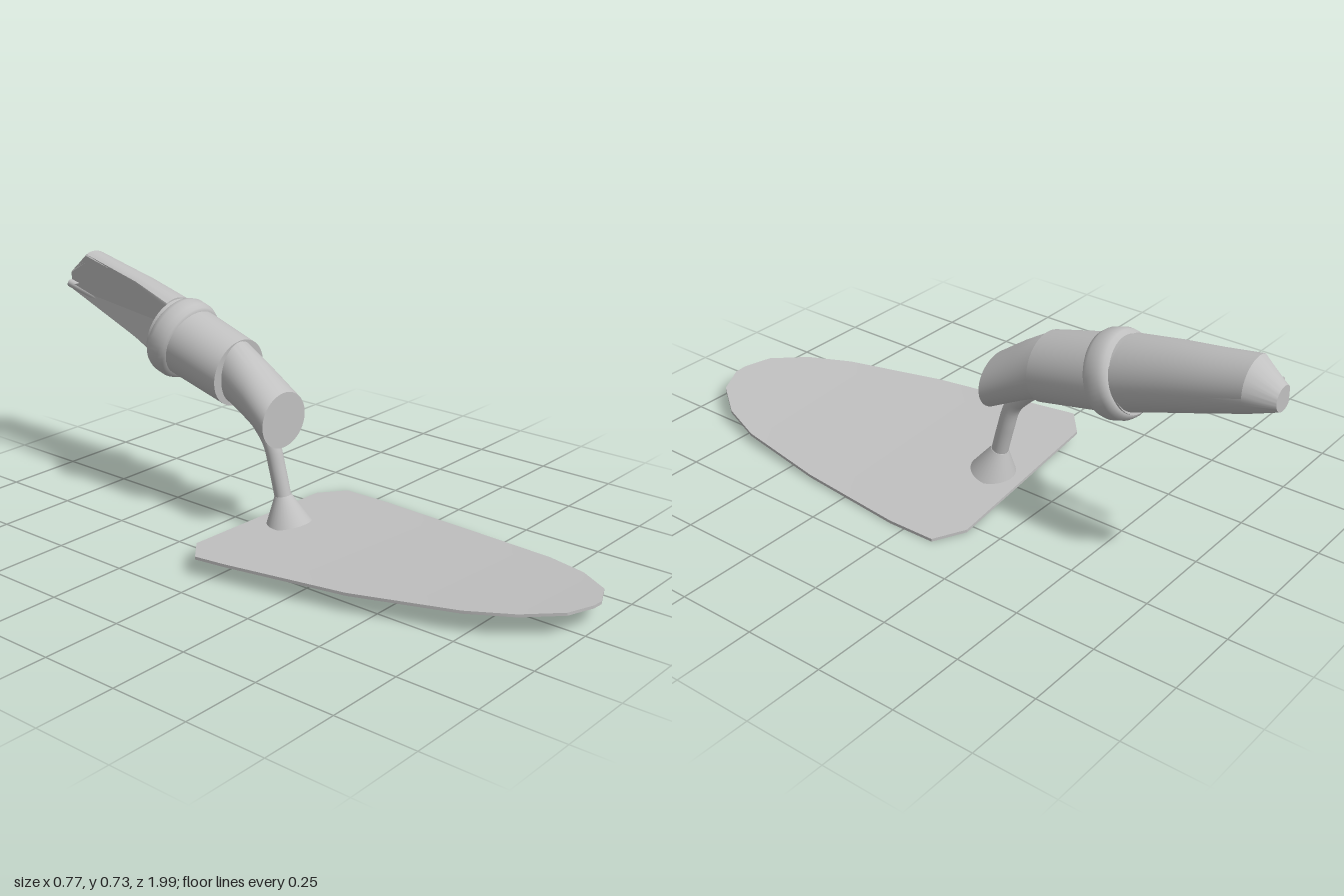
import * as THREE from 'three';
import { toCreasedNormals } from 'three/addons/utils/BufferGeometryUtils.js';

const V = (x, y, z) => new THREE.Vector3(x, y, z);

// Skin over closed rings ordered from +z to -z, each counter-clockwise seen from +z, with end caps.
function loft(rings, crease = 0.6) {
  const n = rings[0].length;
  const pos = [];
  const tri = (...pts) => pts.forEach((p) => pos.push(p.x, p.y, p.z));
  for (let i = 0; i < rings.length - 1; i++) {
    for (let j = 0; j < n; j++) {
      const k = (j + 1) % n;
      const a = rings[i], b = rings[i + 1];
      tri(a[j], b[j], a[k]);
      tri(a[k], b[j], b[k]);
    }
  }
  [rings[0], rings[rings.length - 1]].forEach((ring, end) => {
    const c = ring.reduce((s, p) => s.add(p), V(0, 0, 0)).divideScalar(n);
    for (let j = 0; j < n; j++) {
      const k = (j + 1) % n;
      if (end) tri(c, ring[k], ring[j]);
      else tri(c, ring[j], ring[k]);
    }
  });
  const g = new THREE.BufferGeometry();
  g.setAttribute('position', new THREE.Float32BufferAttribute(pos, 3));
  return toCreasedNormals(g, crease);
}

// Elliptical section; points left of cutX are flattened onto that plane.
function section(x, y, z, rx, ry, cutX = -9, lean = 0) {
  return Array.from({ length: 48 }, (_, i) => {
    const a = (i / 48) * Math.PI * 2;
    const dy = Math.sin(a) * ry;
    return V(Math.max(x + Math.cos(a) * rx, cutX), y + dy, z + dy * lean);
  });
}

// Place a geometry whose axis is y so that it runs along a direction.
function along(mesh, from, to) {
  mesh.position.copy(from).lerp(to, 0.5);
  mesh.quaternion.setFromUnitVectors(V(0, 1, 0), to.clone().sub(from).normalize());
}

export function createModel() {
  const group = new THREE.Group();
  const grey = new THREE.MeshStandardMaterial({ color: 0xc0c0c0 });
  grey.name = 'plain grey';
  const greyThin = grey;
  greyThin.side = THREE.DoubleSide;
  const add = (name, geometry) => {
    const m = new THREE.Mesh(geometry, grey);
    m.name = name;
    group.add(m);
    return m;
  };

  // Blade: rows of left and right rim points, tilted sideways and curling up at the tip
  const rows = [
    [0.05, 0.993, 0.09, 0.993], [-0.04, 0.965, 0.18, 0.95], [-0.13, 0.87, 0.26, 0.84],
    [-0.2, 0.74, 0.31, 0.7], [-0.3, 0.43, 0.355, 0.4], [-0.373, 0.05, 0.385, 0.05],
    [-0.39, -0.05, 0.383, -0.105], [-0.31, -0.12, 0.29, -0.16],
  ];
  const cols = 8;
  const bladeRings = rows.map(([xl, zl, xr, zr]) => {
    const at = (t, lift) => {
      const x = xl + (xr - xl) * t, z = zl + (zr - zl) * t;
      return V(x, 0.025 - 0.063 * x + 0.04 * Math.max(0, z) ** 2 + lift, z);
    };
    const ring = [];
    for (let i = 0; i <= cols; i++) ring.push(at(i / cols, 0));
    for (let i = cols; i >= 0; i--) ring.push(at(i / cols, 0.009));
    return ring;
  });
  add('blade', loft(bladeRings, 0.3));

  // Stem and its flared foot
  const footBase = V(0.01, 0.033, -0.04), footTop = V(0.01, 0.12, -0.062);
  along(add('stemFoot', new THREE.CylinderGeometry(0.027, 0.073, footBase.distanceTo(footTop), 32)), footBase, footTop);
  const stemPath = new THREE.CatmullRomCurve3([
    V(0.01, 0.11, -0.06), V(0.01, 0.2, -0.083), V(0.01, 0.28, -0.108), V(0.012, 0.33, -0.15), V(0.014, 0.38, -0.21),
  ]);
  add('stem', new THREE.TubeGeometry(stemPath, 20, 0.026, 20));

  // Handle front: bent neck with a flat oval end
  add('handleNeck', loft([
    section(0.013, 0.361, -0.06, 0.097, 0.086),
    section(0.018, 0.42, -0.155, 0.084, 0.095),
    section(0.021, 0.47, -0.245, 0.075, 0.102),
    section(0.024, 0.485, -0.3, 0.075, 0.1),
  ]));

  // Handle middle: wider straight grip
  add('grip', loft([
    section(0.025, 0.468, -0.25, 0.11, 0.104, -9, 0.1),
    section(0.035, 0.52, -0.45, 0.113, 0.107, -9, 0.2),
    section(0.037, 0.542, -0.545, 0.108, 0.107, -9, 0.25),
  ]));

  // Rounded collar
  const collarProfile = [
    [0.09, -0.042], [0.112, -0.042], [0.122, -0.034], [0.128, -0.018], [0.128, 0.018],
    [0.122, 0.034], [0.112, 0.042], [0.09, 0.042], [0.09, -0.042],
  ].map(([r, h]) => new THREE.Vector2(r, h));
  const collar = add('collar', toCreasedNormals(new THREE.LatheGeometry(collarProfile, 48), 0.8));
  along(collar, V(0.037, 0.515, -0.45), V(0.037, 0.543, -0.54));

  // Handle rear: tapered half-round with its side cut flat and a chamfered end
  add('handleRear', loft([
    section(0.037, 0.54, -0.52, 0.111, 0.113, -0.008),
    section(0.05, 0.588, -0.68, 0.098, 0.102, 0.018),
    section(0.06, 0.623, -0.81, 0.089, 0.09, 0.029),
    section(0.068, 0.655, -0.925, 0.08, 0.08, 0.034),
    section(0.065, 0.636, -1.0, 0.037, 0.036, 0.036),
  ], 0.5));

  // Slim rod beside the cut, with a thin tapering fin
  const rodStart = V(-0.028, 0.555, -0.52), rodEnd = V(-0.01, 0.638, -0.955);
  along(add('sideRod', new THREE.CylinderGeometry(0.013, 0.015, rodStart.distanceTo(rodEnd), 16)), rodStart, rodEnd);
  const fin = [V(-0.05, 0.6, -0.53), V(-0.027, 0.662, -0.86), V(-0.018, 0.63, -0.955), V(-0.058, 0.5, -0.53)];
  const finGeometry = new THREE.BufferGeometry().setFromPoints([fin[0], fin[1], fin[2], fin[0], fin[2], fin[3]]);
  finGeometry.computeVertexNormals();
  add('sideFin', finGeometry);

  return group;
}
